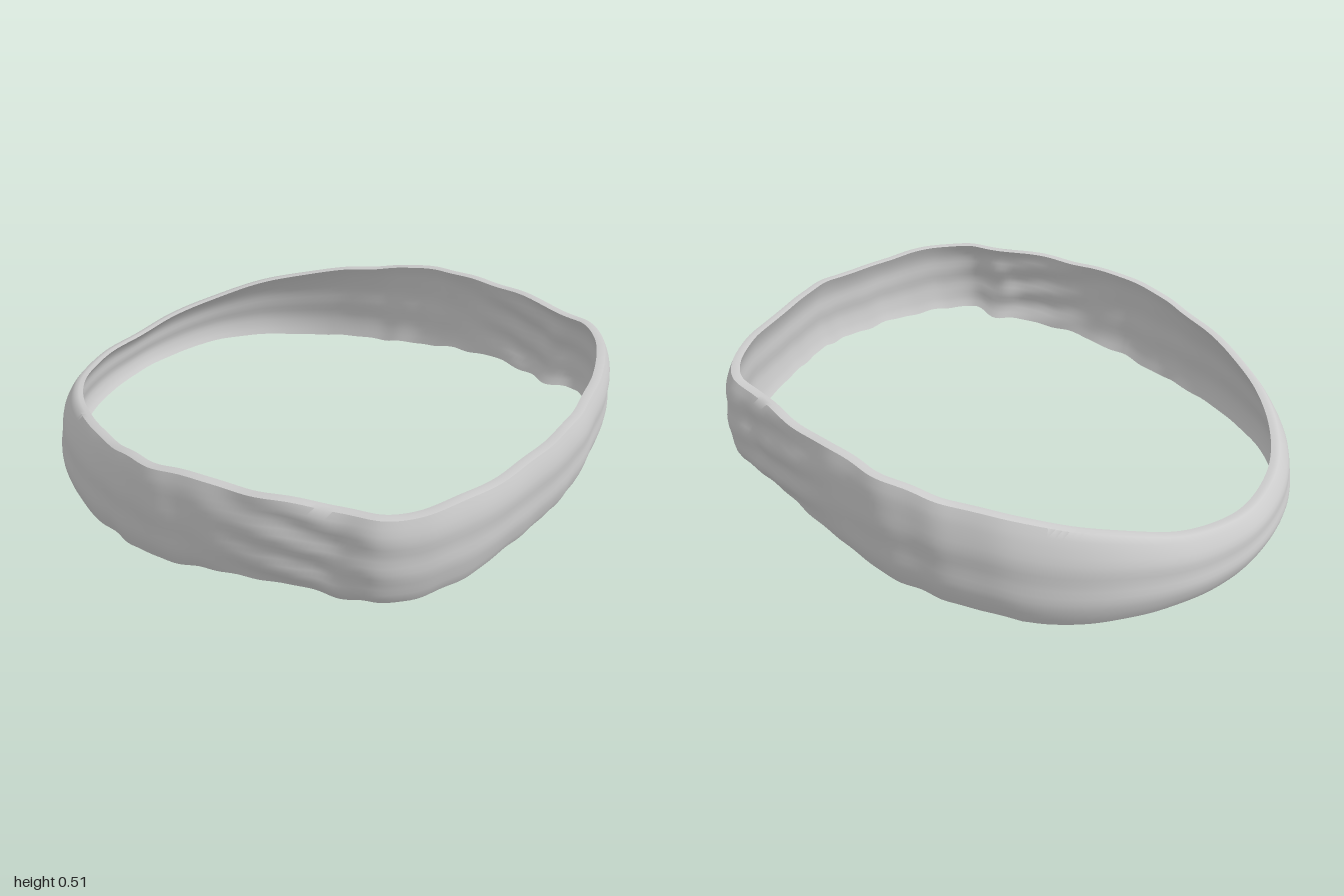
import * as THREE from 'three';
import { toCreasedNormals } from 'three/addons/utils/BufferGeometryUtils.js';

// Half outline, front centre to back centre: [x, z, bottom y, top y, inward lean of the top]
const HALF = [
  [0, 0.99, 0.228, 0.503, 0.005],
  [0.1, 0.985, 0.224, 0.5, 0.005],
  [0.22, 0.965, 0.216, 0.49, 0.005],
  [0.36, 0.94, 0.208, 0.488, 0.005],
  [0.5, 0.9, 0.193, 0.488, 0.01],
  [0.64, 0.83, 0.185, 0.484, 0.01],
  [0.74, 0.73, 0.182, 0.476, 0.015],
  [0.775, 0.6, 0.172, 0.474, 0.015],
  [0.81, 0.45, 0.152, 0.47, 0.01],
  [0.842, 0.3, 0.138, 0.46, 0.005],
  [0.862, 0.15, 0.108, 0.45, 0.005],
  [0.88, 0, 0.075, 0.436, 0.005],
  [0.866, -0.15, 0.048, 0.41, 0.01],
  [0.842, -0.28, 0.034, 0.386, 0.025],
  [0.795, -0.45, 0.018, 0.357, 0.045],
  [0.705, -0.63, 0.006, 0.325, 0.055],
  [0.57, -0.785, 0.014, 0.285, 0.05],
  [0.4, -0.905, 0.016, 0.245, 0.04],
  [0.2, -0.977, 0.012, 0.212, 0.03],
  [0, -0.998, 0.012, 0.2, 0.03],
];

const bump = (d, w) => Math.exp(-(d * d) / (w * w));

function bandGeometry() {
  const mirrored = HALF.slice(1, -1).reverse().map(([x, ...rest]) => [-x, ...rest]);
  const keys = [...HALF, ...mirrored];
  const outline = new THREE.CatmullRomCurve3(keys.map(k => new THREE.Vector3(k[0], 0, k[1])), true);
  const heights = new THREE.CatmullRomCurve3(
    keys.map(k => new THREE.Vector3(k[2], k[3], k[4])), true, 'catmullrom', 0.5);

  // Cross-section: [height fraction, depth fraction], up the outside and down the inside
  const ROWS = 14;
  const section = [];
  for (let j = 0; j <= ROWS; j++) section.push([j / ROWS, 0]);
  section.push([1.008, 0.5]);
  for (let j = ROWS; j >= 0; j--) section.push([j / ROWS, 1]);
  section.push([-0.008, 0.5]);

  const N = 320, M = section.length;
  const positions = [], index = [];
  for (let i = 0; i < N; i++) {
    const u = i / N;
    const p = outline.getPoint(u), t = outline.getTangent(u), h = heights.getPoint(u);
    const nx = -t.z, nz = t.x;
    const a = u * Math.PI * 2;

    // Slightly uneven hems, with a tuck at each front corner
    const temple = bump(p.z - 0.42, 0.22);
    const corner = bump(p.z - 0.6, 0.06);
    const hem = 0.003 * Math.sin(a * 23) + 0.002 * Math.sin(a * 41 + 1);
    const bottom = h.x + hem * (p.z > -0.5 ? 1 : 0.3) - 0.012 * corner;
    const top = h.y + 0.0025 * Math.sin(a * 19 + 2);

    section.forEach(([v, d]) => {
      const c = Math.min(1, Math.max(0, v));
      const bulge = -0.022 * Math.pow(Math.abs(2 * c - 1), 3.5) - h.z * c * c;
      // Lengthwise creases at the temples, faint ones elsewhere, plus vertical ripples
      let wrinkle = temple * 0.008 * Math.sin(c * 17 + p.z * 9);
      wrinkle += 0.0025 * Math.sin(c * 15 + 3 * Math.cos(a)) * Math.sin(Math.PI * c);
      wrinkle += 0.003 * Math.sin(a * 27 + c * 2) * bump(p.z, 0.5);
      wrinkle -= 0.012 * bump(p.z - 0.58 - 0.12 * (c - 0.5), 0.05) * Math.sin(Math.PI * c);
      // Folded cloth thickens the lower inside edge at the corners
      const thick = 0.03 + 0.028 * corner * bump(c, 0.3);
      const off = bulge + wrinkle - d * thick;
      positions.push(p.x + nx * off, bottom + (top - bottom) * v, p.z + nz * off);
    });
  }
  for (let i = 0; i < N; i++) {
    const k = (i + 1) % N;
    for (let j = 0; j < M; j++) {
      const l = (j + 1) % M;
      const a = i * M + j, b = k * M + j, c = k * M + l, d = i * M + l;
      index.push(a, b, c, a, c, d);
    }
  }
  const geometry = new THREE.BufferGeometry();
  geometry.setAttribute('position', new THREE.Float32BufferAttribute(positions, 3));
  geometry.setIndex(index);

  // Stand the band on the ground
  geometry.computeBoundingBox();
  geometry.translate(0, -geometry.boundingBox.min.y, 0);
  return toCreasedNormals(geometry, Math.PI / 4);
}

export function createModel() {
  const group = new THREE.Group();
  group.name = 'headband';
  const material = new THREE.MeshStandardMaterial({ color: 0xcccccc });
  const band = new THREE.Mesh(bandGeometry(), material);
  band.name = 'clothBand';
  group.add(band);
  return group;
}
